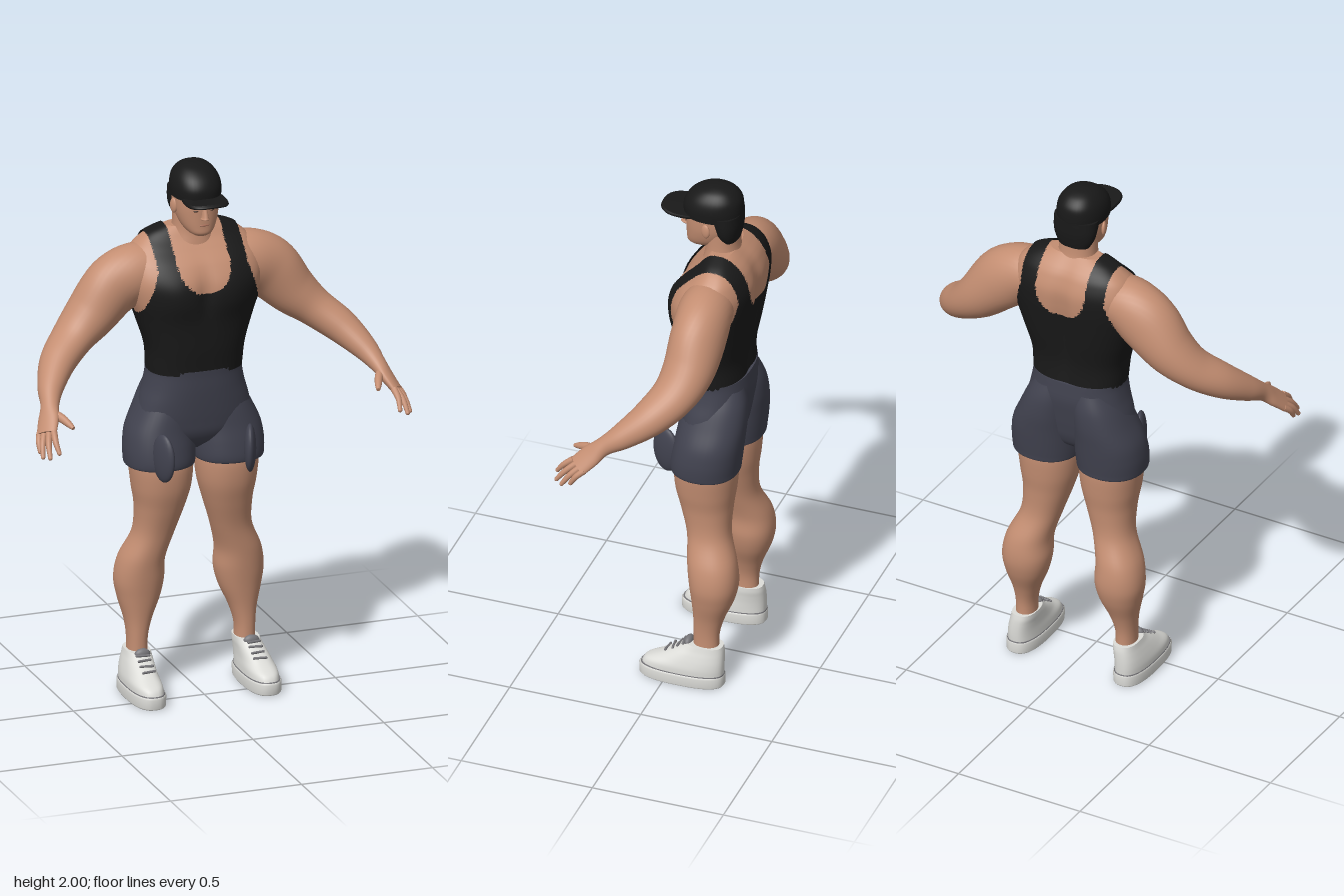
import * as THREE from 'three';

const mat = (name, color, side = THREE.FrontSide) => {
  const m = new THREE.MeshStandardMaterial({ color, side });
  m.name = name;
  return m;
};

// Catmull-Rom interpolation of every column of a table of sections
function refine(rows, steps) {
  const out = [], last = rows.length - 1;
  for (let k = 0; k < last; k++) {
    const [a, b, c, d] = [k - 1, k, k + 1, k + 2].map(i => rows[Math.min(last, Math.max(0, i))]);
    for (let s = 0; s < steps; s++) {
      const t = s / steps;
      out.push(b.map((p, i) => p + 0.5 * t * (c[i] - a[i] +
        t * (2 * a[i] - 5 * p + 4 * c[i] - d[i] + t * (3 * (p - c[i]) + d[i] - a[i])))));
    }
  }
  out.push(rows[last]);
  return out;
}

// Closed skin over rings of points, with optional end caps
function skinRings(rings, caps = true) {
  const pos = [], idx = [], n = rings[0].length;
  rings.forEach(r => r.forEach(p => pos.push(p.x, p.y, p.z)));
  for (let j = 0; j < rings.length - 1; j++) for (let i = 0; i < n; i++) {
    const a = j * n + i, c = j * n + (i + 1) % n;
    idx.push(a, a + n, c, c, a + n, c + n);
  }
  if (caps) [rings[0], rings[rings.length - 1]].forEach((r, end) => {
    const start = pos.length / 3;
    const mid = r.reduce((s, p) => s.add(p), new THREE.Vector3()).divideScalar(n);
    [...r, mid].forEach(p => pos.push(p.x, p.y, p.z));
    for (let i = 0; i < n; i++) {
      const a = start + i, b = start + (i + 1) % n;
      idx.push(start + n, end ? b : a, end ? a : b);
    }
  });
  const g = new THREE.BufferGeometry();
  g.setAttribute('position', new THREE.Float32BufferAttribute(pos, 3));
  g.setIndex(idx);
  g.computeVertexNormals();
  return g;
}

// Horizontal sections, bottom to top: [y, centre x, front z, back z, half width]
function loft(rows, { steps = 6, sides = 40, power = 2.2, bend = null, caps = true } = {}) {
  const sp = v => Math.sign(v) * Math.abs(v) ** (2 / power);
  return skinRings(refine(rows, steps).map(([y, x, zf, zb, rx]) =>
    Array.from({ length: sides }, (_, i) => {
      const a = i / sides * Math.PI * 2;
      const p = new THREE.Vector3(x + rx * sp(Math.cos(a)), y, (zf + zb) / 2 + (zf - zb) / 2 * sp(Math.sin(a)));
      if (bend) bend(p, Math.sin(a));
      return p;
    })), caps);
}

// Sections square to a path: [x, y, z, radius along the palm, radius through it]
function limb(rows, steps = 6, sides = 24) {
  const pts = refine(rows, steps), spread = new THREE.Vector3(-0.53, 0.26, 0.8);
  const at = i => new THREE.Vector3(...pts[Math.min(pts.length - 1, Math.max(0, i))].slice(0, 3));
  return skinRings(pts.map((r, j) => {
    const d = at(j + 1).sub(at(j - 1)).normalize();
    const b = spread.clone().addScaledVector(d, -spread.dot(d)).normalize();
    const c = b.clone().cross(d);
    return Array.from({ length: sides }, (_, i) => {
      const a = i / sides * Math.PI * 2;
      return at(j).addScaledVector(b, r[3] * Math.cos(a)).addScaledVector(c, r[4] * Math.sin(a));
    });
  }));
}

const blob = (x, y, z, rx, ry, rz, turn = 0) =>
  new THREE.SphereGeometry(1, 24, 16).scale(rx, ry, rz).rotateY(turn).translate(x, y, z);

function mirror(geo) {
  const g = geo.clone().scale(-1, 1, 1), ix = g.index.array;
  for (let i = 0; i < ix.length; i += 3) [ix[i], ix[i + 1]] = [ix[i + 1], ix[i]];
  g.computeVertexNormals();
  return g;
}

export function createModel() {
  const model = new THREE.Group();
  model.name = 'athlete';
  const skin = mat('skin', 0xc48e72), black = mat('black cloth', 0x191919, THREE.DoubleSide);
  const navy = mat('shorts cloth', 0x41424f, THREE.DoubleSide), white = mat('shoe white', 0xdcdcd8);
  const grey = mat('lace grey', 0x77767a), lip = mat('lip', 0xa56c58);
  const dark = mat('brow and eye', 0x45332a);
  const add = (name, geo, m) => {
    const mesh = new THREE.Mesh(geo, m);
    mesh.name = name;
    model.add(mesh);
  };
  const pair = (name, geo, m) => {
    add(name + 'Left', geo, m);
    add(name + 'Right', mirror(geo), m);
  };
  const bump = (v, c, w) => Math.exp(-(((v - c) / w) ** 2));

  // Torso with chest muscles and a groove down the back
  const torso = loft([
    [1.18, 0, 0, -0.235, 0.165], [1.24, 0, 0.005, -0.228, 0.169], [1.32, 0, 0.015, -0.228, 0.177],
    [1.42, 0, 0.022, -0.245, 0.208], [1.50, 0, 0.03, -0.257, 0.235], [1.57, 0, 0.024, -0.266, 0.25],
    [1.63, 0, -0.004, -0.267, 0.245], [1.68, 0, -0.048, -0.252, 0.222], [1.71, 0, -0.075, -0.235, 0.192],
    [1.735, 0, -0.092, -0.212, 0.152], [1.755, 0, -0.105, -0.19, 0.098],
  ], { steps: 12, sides: 144, power: 2.5, bend: (p, s) => {
    if (s > 0) p.z += s * bump(p.y, 1.53, 0.08) * (0.012 * bump(Math.abs(p.x), 0.1, 0.07) - 0.012 * bump(p.x, 0, 0.03));
    else p.z += -s * 0.02 * bump(p.x, 0, 0.035) * bump(p.y, 1.47, 0.2);
  } });
  add('torso', torso, skin);

  // Tank top: torso surface moved outward, cut by neckline and armholes
  const tank = torso.clone(), P = tank.attributes.position, N = tank.attributes.normal;
  const keep = [], src = torso.index.array;
  const covered = (x, y) => {
    x = Math.abs(x);
    if (y < 1.222) return false;
    const neck = y > 1.64 ? x < 0.1 : (x / 0.1) ** 2 + ((1.64 - y) / 0.105) ** 2 < 1;
    const hem = 0.168 + 0.055 * Math.max(0, (1.62 - y) / 0.17);
    return !neck && (y < 1.435 || x < hem);
  };
  for (let i = 0; i < src.length; i += 3) {
    const t = [src[i], src[i + 1], src[i + 2]];
    const mean = f => t.reduce((s, k) => s + f(k), 0) / 3;
    if (covered(mean(k => P.getX(k)), mean(k => P.getY(k)))) keep.push(...t);
  }
  for (let k = 0; k < P.count; k++)
    P.setXYZ(k, P.getX(k) + N.getX(k) * 0.007, P.getY(k) + N.getY(k) * 0.007, P.getZ(k) + N.getZ(k) * 0.007);
  tank.setIndex(keep);
  add('tankTop', tank, black);

  // Neck and head
  add('neck', loft([[1.64, 0, -0.05, -0.22, 0.11], [1.70, 0, -0.062, -0.215, 0.085],
    [1.75, 0, -0.07, -0.195, 0.072], [1.82, 0, -0.07, -0.19, 0.07]]), skin);
  add('head', loft([[1.743, 0, -0.012, -0.075, 0.026], [1.755, 0, 0.002, -0.11, 0.045],
    [1.78, 0, 0.004, -0.15, 0.063], [1.82, 0, 0.005, -0.18, 0.076], [1.86, 0, 0.006, -0.193, 0.081],
    [1.91, 0, 0.004, -0.195, 0.082]]), skin);
  add('nose', loft([[1.808, 0, 0.012, -0.02, 0.012], [1.814, 0, 0.029, -0.02, 0.016],
    [1.825, 0, 0.027, -0.02, 0.012], [1.87, 0, 0.011, -0.02, 0.008]], { sides: 16 }), skin);
  add('mouth', blob(0, 1.788, 0.001, 0.019, 0.004, 0.006), lip);
  pair('ear', blob(0.083, 1.843, -0.093, 0.009, 0.028, 0.018, -0.3), skin);
  pair('eye', blob(0.031, 1.843, -0.002, 0.01, 0.003, 0.005, 0.25), dark);
  pair('brow', blob(0.032, 1.86, -0.001, 0.016, 0.003, 0.006, 0.25), dark);

  // Cap with brim, and the dark back of the head below it
  add('cap', loft([[1.88, 0, 0.014, -0.202, 0.088], [1.92, 0, 0.014, -0.204, 0.089],
    [1.955, 0, -0.005, -0.198, 0.08], [1.982, 0, -0.04, -0.175, 0.059],
    [1.996, 0, -0.08, -0.145, 0.032], [2.0, 0, -0.108, -0.117, 0.005]]), black);
  add('capBrim', loft([[1.882, 0, 0.093, -0.08, 0.076], [1.888, 0, 0.098, -0.08, 0.078],
    [1.895, 0, 0.088, -0.08, 0.076]], { power: 2.7, bend: p => { p.y -= 1.2 * p.x * p.x; } }), black);
  add('hairBack', loft([[1.79, 0, -0.13, -0.193, 0.06], [1.82, 0, -0.115, -0.199, 0.076],
    [1.855, 0, -0.103, -0.203, 0.084], [1.9, 0, -0.08, -0.203, 0.086]]), black);

  // Arms with palms
  pair('arm', limb([
    [0.13, 1.605, -0.14, 0.09, 0.09], [0.22, 1.588, -0.142, 0.1, 0.108], [0.3, 1.54, -0.147, 0.098, 0.113],
    [0.385, 1.448, -0.14, 0.095, 0.092], [0.462, 1.38, -0.112, 0.084, 0.071],
    [0.54, 1.319, -0.051, 0.07, 0.062], [0.597, 1.259, 0.03, 0.05, 0.046], [0.625, 1.215, 0.095, 0.035, 0.031],
    [0.645, 1.178, 0.137, 0.043, 0.023], [0.668, 1.138, 0.178, 0.043, 0.017],
  ], 8, 32), skin);
  // Fingers and thumb
  [[0.699, 1.08, 0.195], [0.7, 1.07, 0.228], [0.682, 1.073, 0.254], [0.65, 1.09, 0.262]].forEach((tip, i) => {
    const t = (i - 1.5) * 0.022, base = [0.666 - 0.53 * t, 1.142 + 0.26 * t, 0.175 + 0.8 * t];
    const mid = base.map((b, k) => (b + tip[k]) / 2 + [0.005, 0.004, 0.003][k]);
    pair('finger' + (i + 1), limb([[...base, 0.012, 0.013], [...mid, 0.011, 0.011],
      [...tip, 0.008, 0.008]], 4, 12), skin);
    pair('fingertip' + (i + 1), blob(...tip, 0.008, 0.008, 0.008), skin);
  });
  pair('thumb', limb([[0.63, 1.195, 0.12, 0.018, 0.018], [0.605, 1.185, 0.165, 0.016, 0.015],
    [0.59, 1.172, 0.2, 0.012, 0.012], [0.582, 1.163, 0.222, 0.007, 0.007]], 5, 14), skin);

  // Shorts: hips, two loose legs and the pocket flaps in front
  add('shortsHips', loft([[0.915, 0, -0.08, -0.15, 0.04], [0.95, 0, -0.035, -0.195, 0.14],
    [0.99, 0, -0.012, -0.215, 0.195], [1.04, 0, -0.003, -0.226, 0.213], [1.1, 0, 0.004, -0.236, 0.203],
    [1.16, 0, 0.009, -0.244, 0.186], [1.21, 0, 0.011, -0.242, 0.176],
    [1.236, 0, 0.013, -0.24, 0.175]], { power: 2.4 }), navy);
  pair('shortsLeg', loft([[0.89, 0.128, -0.01, -0.22, 0.11], [0.868, 0.131, 0.008, -0.236, 0.124],
    [0.89, 0.131, 0.013, -0.24, 0.129], [0.94, 0.13, 0.007, -0.246, 0.13], [1.0, 0.125, -0.004, -0.252, 0.124],
    [1.07, 0.11, -0.014, -0.257, 0.107], [1.14, 0.094, -0.03, -0.253, 0.09],
    [1.2, 0.08, -0.05, -0.237, 0.07]], { caps: false }), navy);
  pair('pocketFlap', blob(0.165, 0.928, 0.026, 0.022, 0.09, 0.058, -0.35), navy);

  // Legs
  pair('leg', loft([[0.12, 0.205, -0.095, -0.19, 0.038], [0.2, 0.205, -0.095, -0.19, 0.037],
    [0.27, 0.2, -0.093, -0.207, 0.05], [0.35, 0.193, -0.085, -0.24, 0.077], [0.42, 0.19, -0.076, -0.254, 0.09],
    [0.5, 0.183, -0.066, -0.245, 0.083], [0.6, 0.148, -0.052, -0.212, 0.075], [0.7, 0.13, -0.024, -0.212, 0.089],
    [0.78, 0.125, -0.003, -0.222, 0.106], [0.86, 0.125, 0.003, -0.228, 0.115],
    [0.9, 0.126, -0.008, -0.222, 0.112], [0.95, 0.126, -0.03, -0.21, 0.095]]), skin);

  // Shoes: sole, seam, upper, collar and laces
  const sx = 0.22;
  pair('shoeSole', loft([[0, sx, 0.098, -0.212, 0.06], [0.006, sx, 0.104, -0.216, 0.064],
    [0.04, sx, 0.105, -0.216, 0.065], [0.046, sx, 0.1, -0.213, 0.061]], { steps: 1, power: 2.6 }), white);
  pair('shoeSeam', loft([[0.045, sx, 0.1, -0.214, 0.061], [0.049, sx, 0.098, -0.213, 0.06]],
    { steps: 1, power: 2.6 }), grey);
  pair('shoeUpper', loft([[0.046, sx, 0.096, -0.212, 0.059], [0.07, sx, 0.08, -0.213, 0.058],
    [0.095, sx - 0.002, 0.03, -0.213, 0.054], [0.12, sx - 0.006, -0.012, -0.212, 0.05],
    [0.14, sx - 0.01, -0.045, -0.21, 0.047], [0.158, sx - 0.012, -0.068, -0.206, 0.044]], { power: 2.5 }), white);
  pair('shoeTongue', blob(sx - 0.012, 0.153, -0.077, 0.03, 0.022, 0.016), grey);
  [[0.112, 0.002], [0.126, -0.021], [0.14, -0.044], [0.153, -0.06]].forEach(([y, z], i) => {
    pair('lace' + (i + 1), new THREE.CapsuleGeometry(0.005, 0.044, 4, 8).rotateZ(Math.PI / 2)
      .rotateY(i % 2 ? 0.12 : -0.12).translate(sx - 0.008, y, z), grey);
  });
  return model;
}
